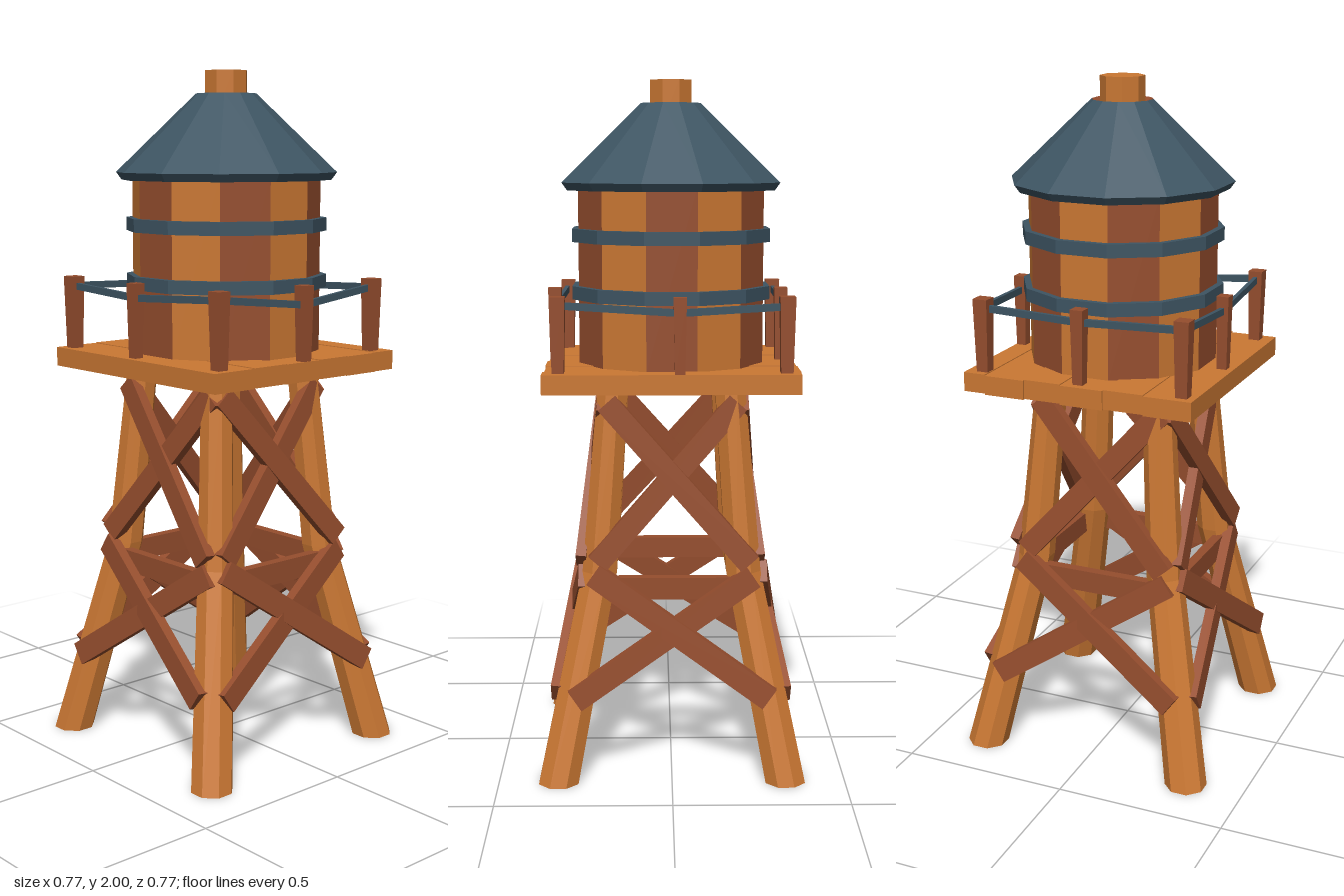
import * as THREE from 'three';

export function createModel() {
  const model = new THREE.Group();
  model.name = 'waterTower';

  const paint = (name, color) => {
    const m = new THREE.MeshStandardMaterial({ color, flatShading: true });
    m.name = name;
    return m;
  };
  const lightWood = paint('lightWood', 0xcb7833);
  const darkWood = paint('darkWood', 0x964e2e);
  const blueMetal = paint('blueMetal', 0x3e5563);

  const add = (name, geometry, material, parent = model) => {
    const mesh = new THREE.Mesh(geometry, material);
    mesh.name = name;
    parent.add(mesh);
    return mesh;
  };

  // Straight bar from a to b; depth is measured towards the outward side
  const beam = (name, a, b, width, depth, material, parent = model, out = [0, 0, 1]) => {
    const p = new THREE.Vector3(...a), q = new THREE.Vector3(...b);
    const dir = q.clone().sub(p);
    const mesh = add(name, new THREE.BoxGeometry(dir.length(), width, depth), material, parent);
    dir.normalize();
    const up = new THREE.Vector3(...out).cross(dir).normalize();
    const side = dir.clone().cross(up);
    mesh.quaternion.setFromRotationMatrix(new THREE.Matrix4().makeBasis(dir, up, side));
    mesh.position.copy(p).add(q).multiplyScalar(0.5);
    return mesh;
  };

  // Four splayed, slightly bent eight-sided legs: [y, centre offset, half width]
  const legLevels = [[1.14, 0.168, 0.043], [0.6, 0.208, 0.05], [0, 0.327, 0.057]];
  for (const sx of [-1, 1]) for (const sz of [-1, 1]) {
    const geo = new THREE.CylinderGeometry(1, 1, 2, 8, 2, false, Math.PI / 8);
    const pos = geo.attributes.position;
    for (let i = 0; i < pos.count; i++) {
      const [y, c, half] = legLevels[1 - Math.round(pos.getY(i))];
      const r = half / Math.cos(Math.PI / 8);
      pos.setXYZ(i, sx * c + pos.getX(i) * r, y, sz * c + pos.getZ(i) * r);
    }
    geo.computeVertexNormals();
    add('leg', geo, lightWood);
  }

  // Cross braces and a tie bar, repeated on all four sides
  for (let k = 0; k < 4; k++) {
    const side = new THREE.Group();
    side.name = 'sideBracing';
    side.rotation.y = k * Math.PI / 2;
    model.add(side);
    beam('upperBrace', [-0.185, 1.09, 0.207], [0.225, 0.63, 0.262], 0.065, 0.03, darkWood, side);
    beam('upperBrace', [0.19, 1.09, 0.2], [-0.215, 0.63, 0.255], 0.065, 0.03, darkWood, side);
    beam('lowerBrace', [-0.225, 0.6, 0.262], [0.28, 0.25, 0.335], 0.068, 0.03, darkWood, side);
    beam('lowerBrace', [0.235, 0.59, 0.255], [-0.28, 0.245, 0.33], 0.068, 0.03, darkWood, side);
    beam('tieBar', [-0.2, 0.553, 0.235], [0.2, 0.553, 0.235], 0.065, 0.03, darkWood, side);
  }

  // Platform planks running front to back, with slightly uneven ends
  const cuts = [-0.342, -0.2, -0.08, 0.05, 0.162, 0.285, 0.353];
  for (let i = 0; i < cuts.length - 1; i++) {
    const back = -0.363 + 0.004 * (i % 2), front = 0.362 - 0.004 * ((i + 1) % 2);
    const plank = add('platformPlank',
      new THREE.BoxGeometry(cuts[i + 1] - cuts[i] - 0.001, 0.056, front - back), lightWood);
    plank.position.set((cuts[i] + cuts[i + 1]) / 2, 1.161 + 0.002 * (i % 2), (front + back) / 2);
  }

  // Twelve-sided tank of alternating staves
  const step = Math.PI / 6, start = step / 2;
  const tank = new THREE.Group();
  tank.name = 'tank';
  tank.position.x = 0.016;
  model.add(tank);
  for (let i = 0; i < 12; i++) {
    const stave = add('tankStave',
      new THREE.CylinderGeometry(0.276, 0.276, 0.52, 1, 1, true, i * step - start, step),
      i % 2 ? darkWood : lightWood, tank);
    stave.position.y = 1.445;
  }

  // Metal hoops
  for (const y of [1.395, 1.56]) {
    const hoop = add('tankHoop', new THREE.LatheGeometry(
      [[0.27, -0.019], [0.295, -0.019], [0.295, 0.019], [0.27, 0.019]]
        .map(p => new THREE.Vector2(...p)), 12, start), blueMetal, tank);
    hoop.position.y = y;
  }

  // Conical roof with a bevelled rim
  add('roof', new THREE.LatheGeometry(
    [[0.2, 1.688], [0.308, 1.688], [0.324, 1.71], [0.088, 1.935]]
      .map(p => new THREE.Vector2(...p)), 12, start), blueMetal, tank);

  // Sunken wooden collar and spout on top of the roof
  add('roofCollar', new THREE.LatheGeometry(
    [[0.088, 1.935], [0.05, 1.905]].map(p => new THREE.Vector2(...p)), 12, start), darkWood, tank);
  const spout = add('roofSpout',
    new THREE.CylinderGeometry(0.064, 0.064, 0.12, 8, 1, false, Math.PI / 8), lightWood, tank);
  spout.position.y = 1.94;

  // Railing: posts in order round the platform [x, z, rail height, post width]
  const posts = [
    [-0.303, -0.323, 1.375, 0.043], [0.005, -0.325, 1.365, 0.038],
    [0.305, -0.32, 1.375, 0.043], [0.335, -0.022, 1.36, 0.036],
    [0.304, 0.317, 1.378, 0.042], [0.005, 0.341, 1.348, 0.038],
    [-0.29, 0.317, 1.378, 0.042], [-0.308, -0.022, 1.36, 0.036],
  ];
  posts.forEach(([x, z, y, w], i) => {
    const post = add('railPost',
      new THREE.CylinderGeometry(w * 0.72, w * 0.56, 0.22, 4, 1, false, Math.PI / 4), darkWood);
    post.position.set(x, 1.293, z);
    const [nx, nz, ny] = posts[(i + 1) % posts.length];
    beam('rail', [x, y, z], [nx, ny, nz], 0.02, 0.012, blueMetal, model,
      [nz - z, 0, x - nx]);
  });

  return model;
}
